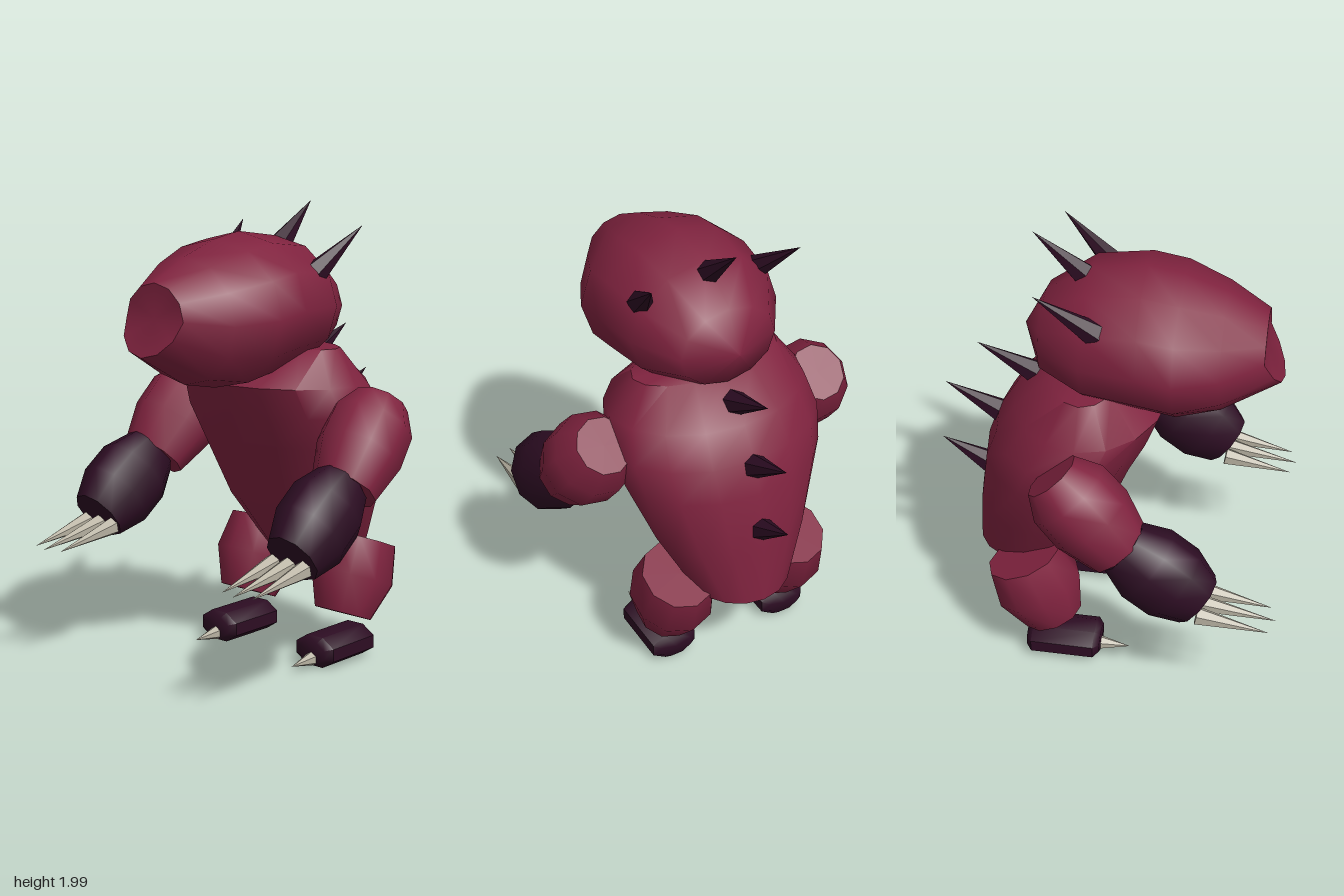
import * as THREE from 'three';
import { toCreasedNormals } from 'three/addons/utils/BufferGeometryUtils.js';

const V = (x, y, z) => new THREE.Vector3(x, y, z);

// Elliptical rings along y: [y, centreZ, halfWidth, halfDepth]
function loft(rings, n) {
  const pos = [], idx = [];
  for (const [y, z, w, d] of rings)
    for (let j = 0; j < n; j++) {
      const a = (j / n) * Math.PI * 2;
      pos.push(w * Math.sin(a), y, z + d * Math.cos(a));
    }
  for (let i = 0; i < rings.length - 1; i++)
    for (let j = 0; j < n; j++) {
      const a = i * n + j, b = i * n + (j + 1) % n;
      idx.push(a, b, b + n, a, b + n, a + n);
    }
  const g = new THREE.BufferGeometry();
  g.setAttribute('position', new THREE.Float32BufferAttribute(pos, 3));
  g.setIndex(idx);
  return g;
}

export function createModel() {
  const root = new THREE.Group();
  const mat = (name, color) => Object.assign(new THREE.MeshStandardMaterial({ color }), { name });
  const hide = mat('crimson hide', 0x80233f);
  const dark = mat('dark plum', 0x2d0d23);
  const bone = mat('bone', 0xb8b2a2);

  const add = (name, geo, material) => {
    const m = new THREE.Mesh(toCreasedNormals(geo, 0.9), material);
    m.name = name;
    root.add(m);
    return m;
  };

  // Turned shape running from one point to another; profile is [radius, share of length]
  const limb = (name, profile, from, to, material, sides = 10, squash = 1) => {
    const dir = to.clone().sub(from), len = dir.length();
    const geo = new THREE.LatheGeometry(profile.map(([r, t]) => new THREE.Vector2(r, t * len)), sides);
    geo.scale(squash, 1, 1);
    const m = add(name, geo, material);
    m.position.copy(from);
    m.quaternion.setFromUnitVectors(V(0, 1, 0), dir.normalize());
  };
  const spike = (name, r, from, to, material) =>
    limb(name, [[0, 0], [r, 0], [0, 1]], from, to, material, 6);

  // Hunched body
  add('body', loft([
    [0.44, -0.4, 0, 0],
    [0.44, -0.4, 0.22, 0.215],
    [0.7, -0.3, 0.35, 0.3],
    [0.98, -0.225, 0.455, 0.335],
    [1.12, -0.165, 0.48, 0.345],
    [1.25, -0.1, 0.45, 0.33],
    [1.4, -0.1, 0.34, 0.165],
    [1.4, -0.1, 0, 0],
  ], 16), hide);

  // Head, lofted from the nape to the muzzle
  const head = loft([
    [-0.38, -1.565, 0, 0],
    [-0.29, -1.56, 0.22, 0.175],
    [-0.1, -1.58, 0.345, 0.28],
    [0.13, -1.58, 0.375, 0.31],
    [0.28, -1.555, 0.375, 0.31],
    [0.46, -1.54, 0.285, 0.262],
    [0.63, -1.5625, 0.16, 0.1475],
    [0.63, -1.5625, 0, 0],
  ], 12);
  head.rotateX(Math.PI / 2);
  // Push the lower lip forward
  const p = head.attributes.position;
  for (let i = 0; i < p.count; i++)
    if (p.getZ(i) > 0.62) p.setZ(i, 0.63 + 0.08 * Math.max(0, (1.56 - p.getY(i)) / 0.145));
  add('head', head, hide);

  // Spikes on the crown and down the back
  spike('crownSpike', 0.055, V(0, 1.81, -0.12), V(0, 2, -0.34), dark);
  for (const [y, z, ty, tz] of [[1.3, -0.32, 1.44, -0.595], [1.08, -0.48, 1.22, -0.745], [0.79, -0.54, 0.92, -0.775]])
    spike('backSpike', 0.06, V(0, y, z), V(0, ty, tz), dark);

  for (const s of [1, -1]) {
    const side = s > 0 ? 'left' : 'right';
    spike(side + 'HeadSpike', 0.055, V(0.265 * s, 1.71, -0.04), V(0.34 * s, 1.91, -0.275), dark);

    // Arm
    limb(side + 'UpperArm', [[0, 0], [0.125, 0], [0.185, 0.25], [0.19, 0.6], [0.145, 1], [0, 1]],
      V(0.52 * s, 1.18, -0.18), V(0.55 * s, 0.86, 0.1), hide, 10, 0.97);
    limb(side + 'Forearm', [[0, 0], [0.13, 0], [0.18, 0.32], [0.18, 0.68], [0.13, 1], [0, 1]],
      V(0.555 * s, 0.875, 0.12), V(0.56 * s, 0.635, 0.435), dark, 10, 0.89);
    for (const k of [-1, 0, 1])
      spike(side + 'HandClaw', 0.04, V((0.547 + 0.08 * k) * s, 0.603, 0.44),
        V((0.545 + 0.078 * k) * s, 0.545, 0.77 - 0.025 * Math.abs(k)), bone);

    // Leg
    limb(side + 'Leg', [[0, 0], [0.17, 0], [0.2, 0.5], [0.137, 1], [0, 1]],
      V(0.28 * s, 0.52, -0.365), V(0.28 * s, 0.205, -0.24), hide, 10, 0.93);

    // Foot, an eight-sided pad
    const foot = loft([
      [-0.35, 0, 0, 0], [-0.35, 0, 0.075, 0.045], [-0.325, 0, 0.113, 0.073],
      [-0.045, 0, 0.113, 0.073], [-0.02, 0, 0.075, 0.045], [-0.02, 0, 0, 0],
    ].map(([y, z, w, d]) => [y, z, w, d]), 8);
    foot.rotateY(Math.PI / 8);
    foot.scale(1.0, 1, 1.0);
    foot.dispose();
    const pad = new THREE.LatheGeometry([[0, -0.35], [0.05, -0.35], [0.073, -0.325], [0.073, -0.045], [0.05, -0.02], [0, -0.02]]
      .map(([r, t]) => new THREE.Vector2(r, t)), 8, Math.PI / 8);
    pad.rotateX(Math.PI / 2);
    pad.scale(1.55, 1, 1);
    add(side + 'Foot', pad, dark).position.set(0.283 * s, 0.078, 0);
    spike(side + 'ToeClaw', 0.035, V(0.283 * s, 0.05, -0.04), V(0.283 * s, 0.045, 0.11), bone);
  }
  return root;
}
